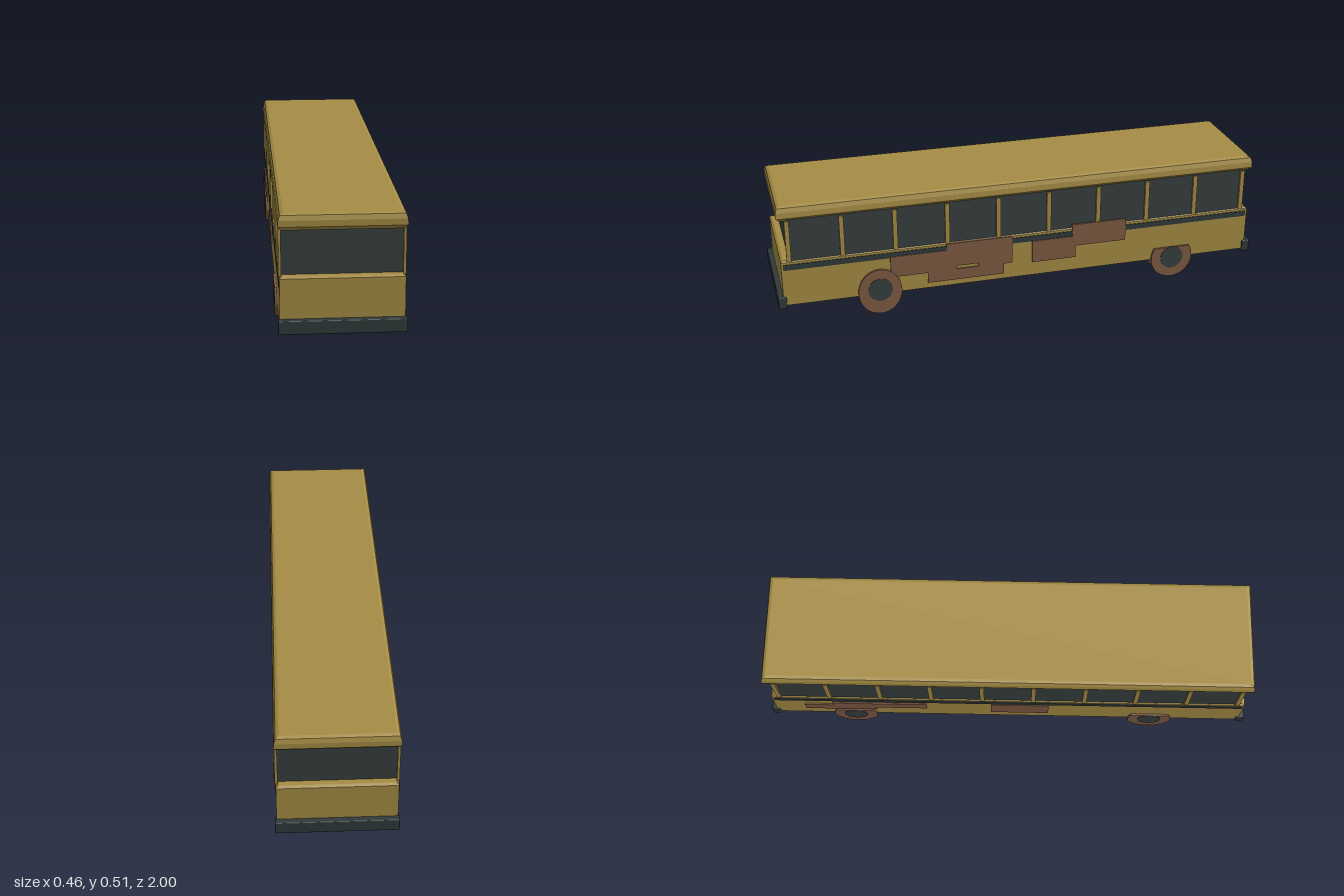
import * as THREE from 'three';
import { RoundedBoxGeometry } from 'three/addons/geometries/RoundedBoxGeometry.js';

export function createModel() {
  const bus = new THREE.Group();
  bus.name = 'bus';

  const paint = (name, color) => {
    const m = new THREE.MeshStandardMaterial({ color, flatShading: true });
    m.name = name;
    return m;
  };
  const yellow = paint('bodyYellow', 0xa68d45);
  const dark = paint('darkGlass', 0x373f40);
  const trim = paint('darkTrim', 0x303a3b);
  const rust = paint('rustBrown', 0x805b44);

  const add = (name, geometry, material, x = 0, y = 0, z = 0) => {
    const mesh = new THREE.Mesh(geometry, material);
    mesh.name = name;
    mesh.position.set(x, y, z);
    bus.add(mesh);
    return mesh;
  };
  const box = (name, w, h, d, material, x, y, z) =>
    add(name, new THREE.BoxGeometry(w, h, d), material, x, y, z);

  // Closed solid from stacked rectangles [y, halfWidth, halfLength]
  const stack = (rings) => {
    const pos = [];
    const idx = [];
    for (const [y, w, l] of rings) pos.push(-w, y, l, w, y, l, w, y, -l, -w, y, -l);
    for (let r = 0; r < rings.length - 1; r++) {
      for (let i = 0; i < 4; i++) {
        const a = r * 4 + i;
        const b = r * 4 + (i + 1) % 4;
        idx.push(a, b, b + 4, a, b + 4, a + 4);
      }
    }
    const t = (rings.length - 1) * 4;
    idx.push(0, 2, 1, 0, 3, 2, t, t + 1, t + 2, t, t + 2, t + 3);
    const g = new THREE.BufferGeometry();
    g.setAttribute('position', new THREE.Float32BufferAttribute(pos, 3));
    g.setIndex(idx);
    const flat = g.toNonIndexed();
    flat.computeVertexNormals();
    return flat;
  };

  // Side outline (horizontal = -z, vertical = y) thickened along x from x0
  const sidePlate = (name, shape, x0, depth, material) => {
    const g = new THREE.ExtrudeGeometry(shape, { depth, bevelEnabled: false, curveSegments: 16 });
    g.rotateY(Math.PI / 2);
    return add(name, g, material, x0, 0, 0);
  };
  const outline = (points) => points.map(([z, y]) => new THREE.Vector2(-z, y));

  // Lower body, glazing and overhanging roof
  add('lowerBody', stack([
    [0.085, 0.222, 0.978], [0.262, 0.222, 0.978], [0.272, 0.222, 0.978], [0.278, 0.214, 0.968],
  ]), yellow);
  box('windowBand', 0.434, 0.18, 1.89, dark, 0, 0.362, 0);
  add('roof', stack([
    [0.446, 0.212, 0.968], [0.462, 0.227, 0.984], [0.485, 0.225, 0.984],
    [0.503, 0.219, 0.978], [0.508, 0.207, 0.966],
  ]), yellow);

  // Window pillars and side stripes
  for (const side of [1, -1]) {
    for (let i = 0; i < 10; i++) {
      box('windowPillar', 0.01, 0.172, 0.018, yellow, side * 0.22, 0.361, 0.945 - i * 0.21);
    }
    box('sideStripe', 0.004, 0.023, 1.94, trim, side * 0.223, 0.251, 0);
  }

  // Bumpers
  for (const end of [1, -1]) {
    add(end > 0 ? 'frontBumper' : 'rearBumper',
      new RoundedBoxGeometry(0.456, 0.052, 0.034, 2, 0.005), trim, 0, 0.098, end * 0.983);
  }

  // Wheels: the left front one stands clear, the others are cut by their arches
  const wheel = (name, side, z, full) => {
    const s = new THREE.Shape();
    if (full) s.absellipse(-z, 0.098, 0.088, 0.098, 0, Math.PI * 2, false);
    else s.absarc(-z, 0.09, 0.09, Math.PI - 0.53, Math.PI * 2 + 0.53, false);
    sidePlate(name, s, side > 0 ? 0.173 : -0.23, 0.057, rust);
    const hub = new THREE.Shape();
    hub.absarc(-z, full ? 0.107 : 0.09, 0.049, 0, Math.PI * 2, false);
    sidePlate(name + 'Hub', hub, side > 0 ? 0.229 : -0.232, 0.003, dark);
  };
  wheel('leftFrontWheel', 1, 0.595, true);
  wheel('leftRearWheel', 1, -0.645, false);
  wheel('rightFrontWheel', -1, 0.6, false);
  wheel('rightRearWheel', -1, -0.645, false);

  // Rust patches on the left side
  const large = new THREE.Shape(outline([
    [0.55, 0.245], [0.32, 0.245], [0.32, 0.273], [0.05, 0.273], [0.05, 0.155],
    [0.085, 0.155], [0.085, 0.11], [0.4, 0.11], [0.4, 0.155], [0.55, 0.155],
  ]));
  large.holes.push(new THREE.Path(outline([[0.28, 0.157], [0.19, 0.157], [0.19, 0.171], [0.28, 0.171]])));
  sidePlate('leftFrontRust', large, 0.221, 0.007, rust);
  sidePlate('leftRearRust', new THREE.Shape(outline([
    [-0.035, 0.24], [-0.205, 0.24], [-0.205, 0.293], [-0.435, 0.293],
    [-0.435, 0.197], [-0.22, 0.197], [-0.22, 0.145], [-0.035, 0.145],
  ])), 0.221, 0.007, rust);

  // Rust patches on the right side
  sidePlate('rightRearRust', new THREE.Shape(outline([
    [-0.85, 0.15], [-0.55, 0.15], [-0.55, 0.175], [-0.34, 0.175],
    [-0.34, 0.225], [-0.73, 0.225], [-0.73, 0.2], [-0.85, 0.2],
  ])), -0.228, 0.007, rust);
  sidePlate('rightMiddleRust', new THREE.Shape(outline([
    [-0.07, 0.142], [0.17, 0.142], [0.17, 0.238], [-0.07, 0.238],
  ])), -0.228, 0.007, rust);

  return bus;
}
